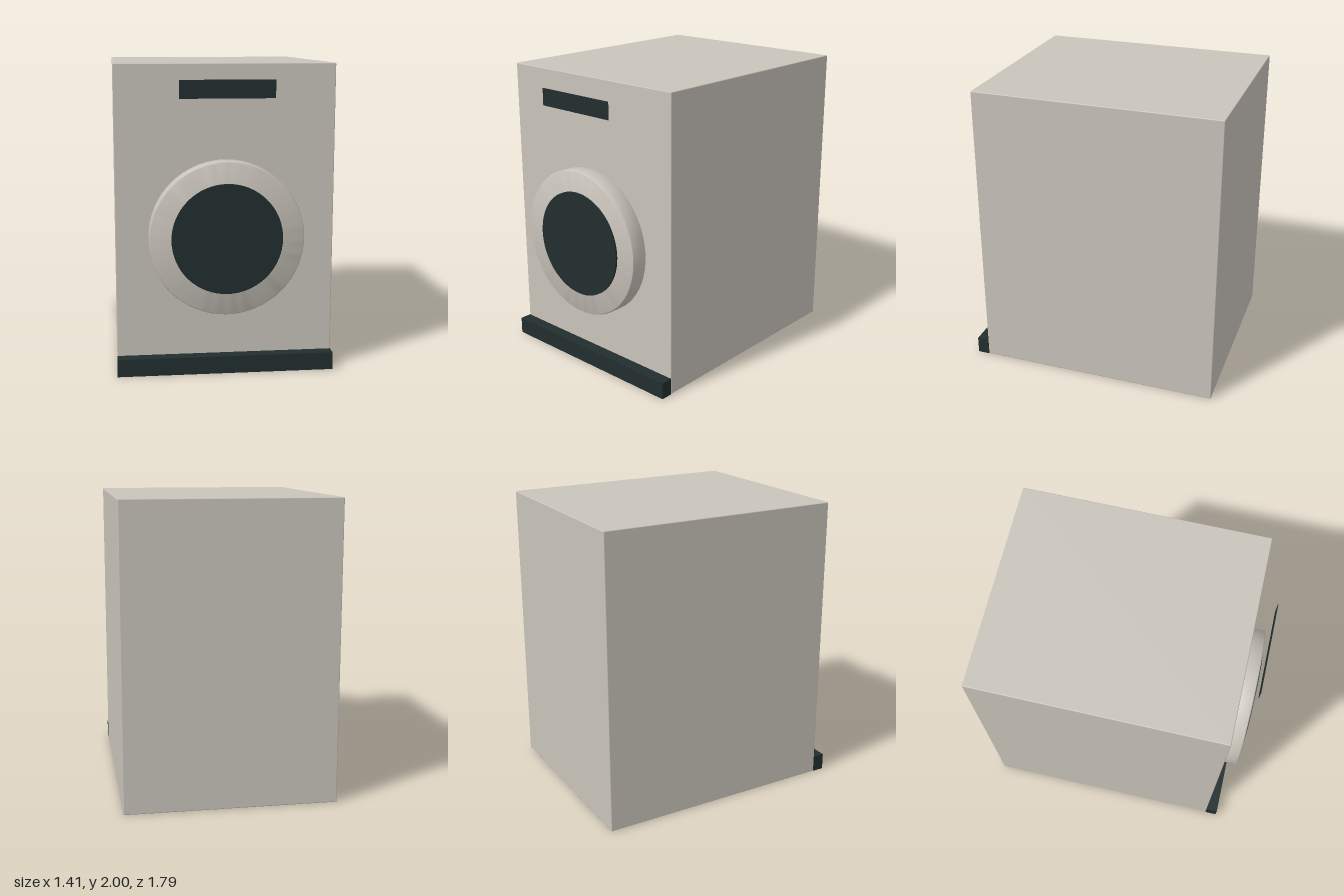
import * as THREE from 'three';
import { RoundedBoxGeometry } from 'three/addons/geometries/RoundedBoxGeometry.js';
import { toCreasedNormals } from 'three/addons/utils/BufferGeometryUtils.js';

export function createModel() {
  const group = new THREE.Group();
  const enamel = new THREE.MeshStandardMaterial({ color: 0xc9c4bb });
  enamel.name = 'warm grey enamel';
  const dark = new THREE.MeshStandardMaterial({ color: 0x222e2e });
  dark.name = 'dark glass';

  const add = (name, geometry, material, x, y, z) => {
    const mesh = new THREE.Mesh(geometry, material);
    mesh.name = name;
    mesh.position.set(x, y, z);
    group.add(mesh);
    return mesh;
  };

  // Cabinet with very slightly softened edges
  add('cabinet', new RoundedBoxGeometry(1.41, 2, 1.655, 2, 0.006), enamel, 0, 1, -0.0655);

  // Plinth strip along the bottom front
  add('plinth', new THREE.BoxGeometry(1.41, 0.115, 0.082), dark, 0, 0.0575, 0.802);

  // Round door with softened rims, turned about the z axis
  const profile = [
    [0, 0], [0.483, 0], [0.491, 0.004], [0.495, 0.012],
    [0.495, 0.108], [0.491, 0.116], [0.483, 0.12], [0, 0.12],
  ].map(([r, h]) => new THREE.Vector2(r, h));
  const door = toCreasedNormals(new THREE.LatheGeometry(profile, 64), 0.6);
  door.rotateX(Math.PI / 2);
  add('door', door, enamel, 0, 0.902, 0.762);

  // Porthole glass on the door
  const glass = new THREE.CylinderGeometry(0.354, 0.354, 0.02, 64);
  glass.rotateX(Math.PI / 2);
  add('doorGlass', glass, dark, 0, 0.902, 0.884);

  // Thin display panel standing level with the door front
  add('display', new THREE.BoxGeometry(0.6, 0.115, 0.004), dark, 0, 1.845, 0.882);

  return group;
}
